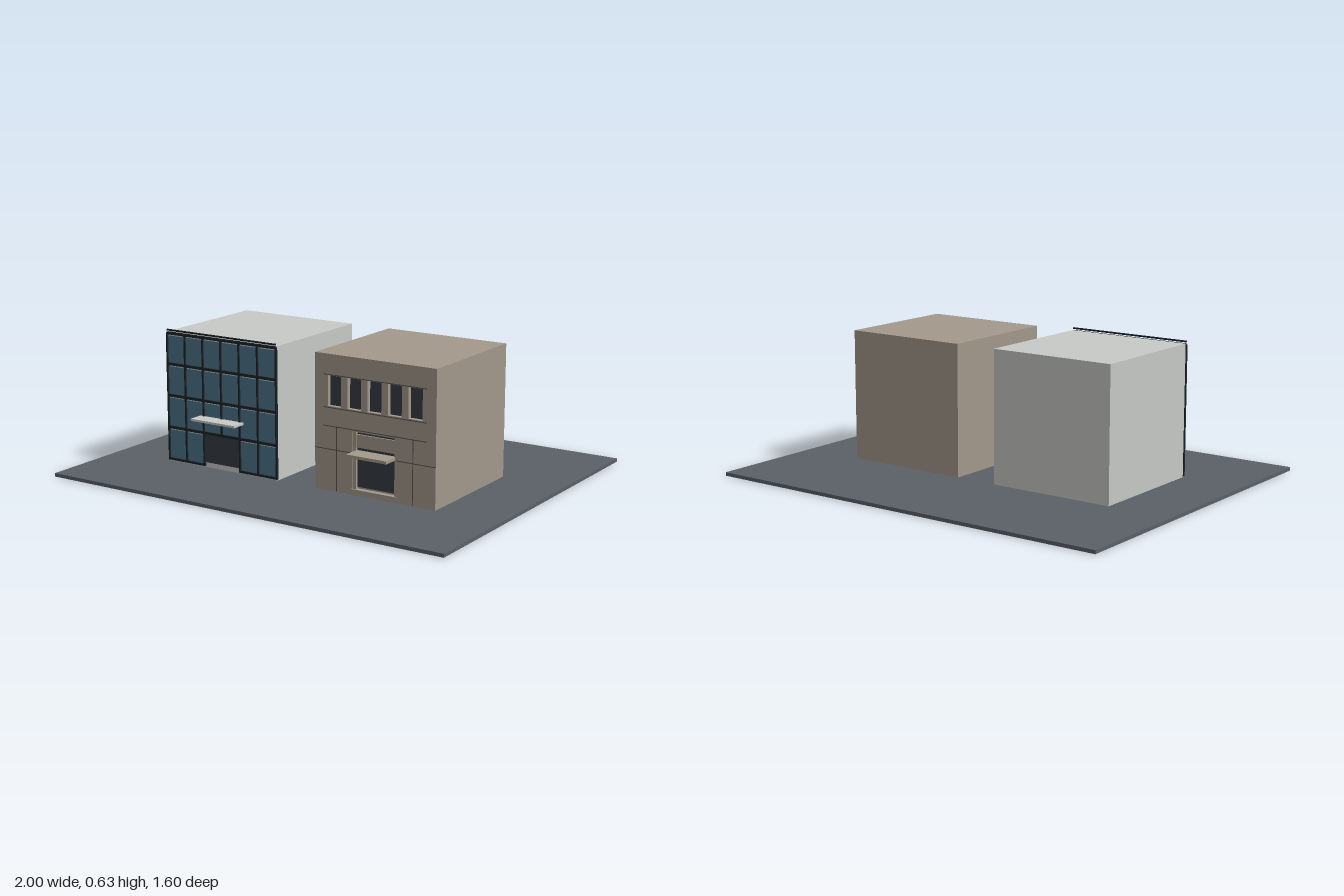
import * as THREE from 'three';

const mat = (name, color) => {
  const m = new THREE.MeshStandardMaterial({ color });
  m.name = name;
  return m;
};

export function createModel() {
  const asphalt = mat('asphalt', 0x5b6068);
  const concrete = mat('pale concrete', 0xc8cac7);
  const stone = mat('sandstone', 0xa3998c);
  const groove = mat('stone joint', 0x5a554e);
  const blueGlass = mat('blue glass', 0x4d7489);
  const darkGlass = mat('dark glass', 0x363c43);
  const metal = mat('black metal', 0x1c2327);

  const model = new THREE.Group();
  model.name = 'twoBuildings';

  // Box given by its minimum and maximum corners
  const box = (parent, name, material, x0, x1, y0, y1, z0, z1) => {
    const mesh = new THREE.Mesh(new THREE.BoxGeometry(x1 - x0, y1 - y0, z1 - z0), material);
    mesh.position.set((x0 + x1) / 2, (y0 + y1) / 2, (z0 + z1) / 2);
    mesh.name = name;
    parent.add(mesh);
  };
  const group = (name) => {
    const g = new THREE.Group();
    g.name = name;
    model.add(g);
    return g;
  };

  box(model, 'ground', asphalt, -1, 1, 0, 0.016, -0.8, 0.8);

  // Office with a glazed curtain wall
  const office = group('glassOffice');
  box(office, 'officeBody', concrete, -0.7, -0.1, 0.016, 0.62, -0.25, 0.35);
  const floors = [0.027, 0.177, 0.326, 0.472, 0.614];
  for (let f = 0; f < 4; f++) {
    for (let i = 0; i < 6; i++) {
      if (f === 0 && (i === 2 || i === 3)) continue;
      const x = -0.7 + i * 0.1;
      box(office, 'glassPane', blueGlass, x, x + 0.1, floors[f], floors[f + 1] - 0.012, 0.35, 0.353);
    }
  }
  for (let i = 0; i < 7; i++) {
    const x = -0.7 + i * 0.1;
    const bottom = i === 3 ? 0.177 : 0.022;
    box(office, 'mullion', metal, x - 0.004, x + 0.004, bottom, 0.615, 0.35, 0.36);
  }
  floors.forEach((y, f) => {
    if (f === 0) {
      box(office, 'baseRail', metal, -0.7, -0.5, y - 0.005, y + 0.005, 0.35, 0.36);
      box(office, 'baseRail', metal, -0.3, -0.1, y - 0.005, y + 0.005, 0.35, 0.36);
    } else {
      box(office, 'floorRail', metal, -0.7, -0.1, y - 0.006, y + 0.006, 0.35, 0.36);
    }
  });
  box(office, 'roofRail', metal, -0.7, -0.1, 0.625, 0.632, 0.353, 0.36);
  box(office, 'officeDoor', darkGlass, -0.5, -0.3, 0.04, 0.172, 0.35, 0.354);
  box(office, 'officeCanopy', concrete, -0.52, -0.28, 0.244, 0.254, 0.35, 0.425);

  // Stone building: a body with a pierced front wall
  const hall = group('stoneBuilding');
  const back = 0.325, front = 0.35;
  box(hall, 'stoneBody', stone, 0.1, 0.7, 0.016, 0.62, -0.25, back);
  const rect = (Type, x0, x1, y0, y1) => new Type([
    new THREE.Vector2(x0, y0), new THREE.Vector2(x1, y0),
    new THREE.Vector2(x1, y1), new THREE.Vector2(x0, y1),
  ]);
  const wall = rect(THREE.Shape, 0.1, 0.7, 0.016, 0.62);
  for (let i = 0; i < 5; i++) {
    const x = 0.2 + i * 0.1;
    wall.holes.push(rect(THREE.Path, x - 0.034, x + 0.034, 0.392, 0.527));
    box(hall, 'upperWindow', darkGlass, x - 0.034, x + 0.034, 0.392, 0.527, back, back + 0.004);
  }
  wall.holes.push(rect(THREE.Path, 0.288, 0.512, 0.042, 0.298));
  const wallMesh = new THREE.Mesh(
    new THREE.ExtrudeGeometry(wall, { depth: front - back, bevelEnabled: false }), stone);
  wallMesh.position.z = back;
  wallMesh.name = 'stoneFront';
  hall.add(wallMesh);

  // Entrance
  box(hall, 'entranceGlass', darkGlass, 0.304, 0.496, 0.05, 0.29, back, back + 0.004);
  box(hall, 'transomPanel', stone, 0.304, 0.496, 0.226, 0.284, back, back + 0.012);
  for (const x of [0.288, 0.496]) {
    box(hall, 'doorJamb', stone, x, x + 0.016, 0.042, 0.298, back, back + 0.018);
  }
  box(hall, 'entranceCanopy', stone, 0.3, 0.5, 0.2, 0.213, back, 0.415);

  // Joints in the stonework
  const joint = (x0, x1, y0, y1) =>
    box(hall, 'stoneJoint', groove, x0, x1, y0, y1, front, front + 0.0008);
  for (const y of [0.305, 0.386, 0.53]) joint(0.145, 0.655, y - 0.002, y + 0.002);
  joint(0.1, 0.288, 0.2, 0.204);
  joint(0.512, 0.7, 0.2, 0.204);
  for (const x of [0.21, 0.59]) joint(x - 0.002, x + 0.002, 0.018, 0.303);

  return model;
}
